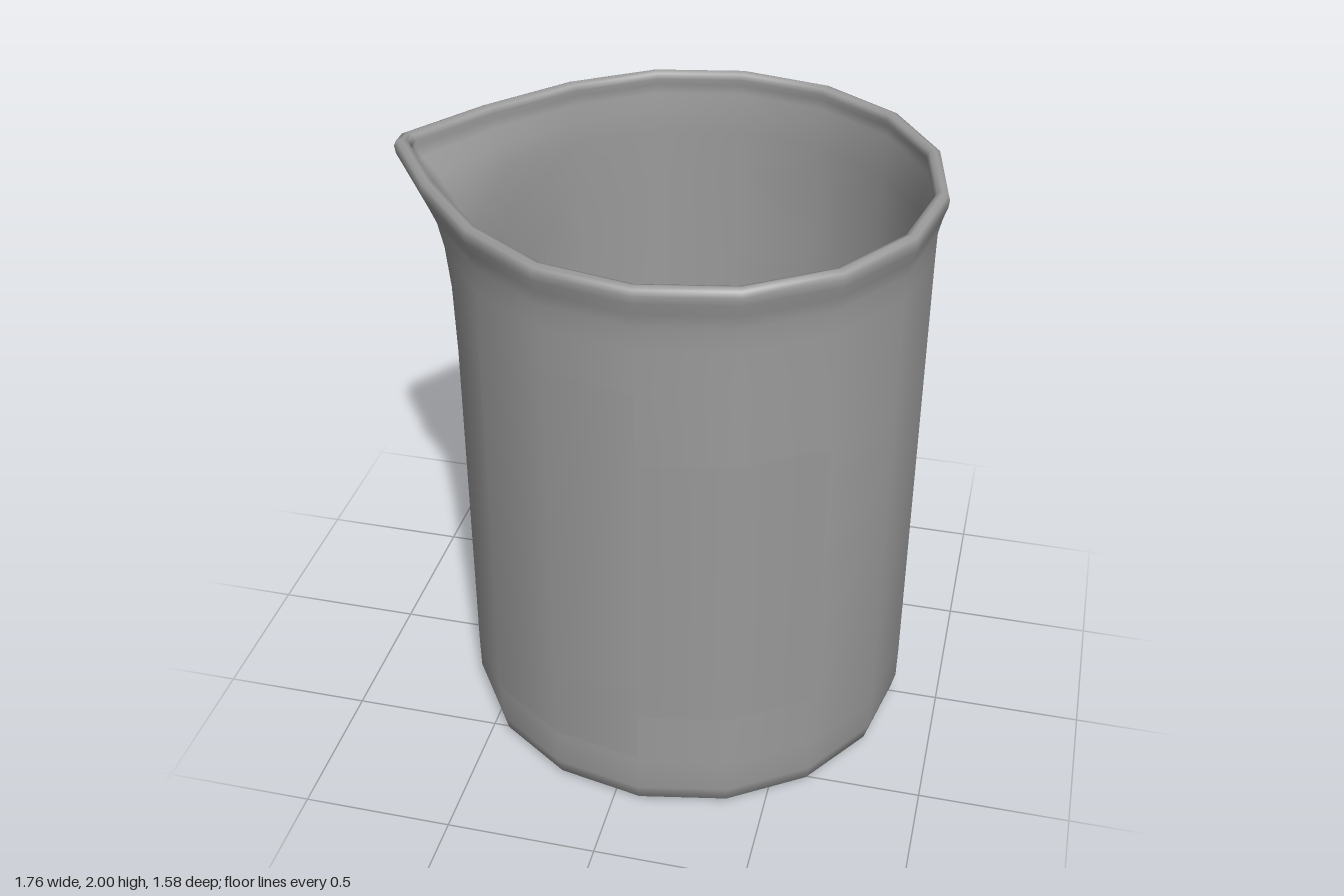
import * as THREE from 'three';

const CX = 0.09; // the body sits off centre because the spout reaches to -x
const material = new THREE.MeshStandardMaterial({ color: 0x9b9b9b });
const panelMaterial = new THREE.MeshStandardMaterial({ color: 0x999999, side: THREE.DoubleSide });

// Sixteen-sided ring; the spout corner is split in two for a blunt tip
const columns = [];
for (let i = 0; i < 16; i++) {
  if (i === 8) columns.push({ deg: 178, pull: 1 }, { deg: 182, pull: 1 });
  else columns.push({ deg: i * 22.5, pull: i === 7 || i === 9 ? 0.3 : 0 });
}

// Cross-section [radius, height, spout pull]: base, outer wall, rim bead, inner wall, floor
const profile = [
  [0, 0.015, 0], [0.5, 0.012, 0], [0.66, 0.002, 0], [0.71, 0.003, 0],
  [0.746, 0.025, 0], [0.76, 0.08, 0], [0.762, 0.2, 0],
  [0.762, 1.4, 0], [0.762, 1.64, 0.02], [0.762, 1.78, 0.068], [0.763, 1.86, 0.127],
  [0.774, 1.91, 0.164], [0.787, 1.95, 0.182], [0.79, 1.975, 0.183],
  [0.785, 1.993, 0.18], [0.768, 2, 0.177], [0.75, 1.993, 0.175], [0.743, 1.975, 0.174],
  [0.753, 1.952, 0.17], [0.752, 1.92, 0.15], [0.743, 1.86, 0.11], [0.742, 1.78, 0.06],
  [0.742, 1.64, 0.02], [0.742, 1.4, 0], [0.742, 0.14, 0], [0.735, 0.07, 0],
  [0.71, 0.038, 0], [0.64, 0.03, 0], [0, 0.03, 0],
];

function vesselGeometry() {
  const positions = [], index = [], n = columns.length;
  for (const [r, y, spout] of profile) {
    for (const { deg, pull } of columns) {
      const a = THREE.MathUtils.degToRad(deg);
      positions.push(CX + r * Math.cos(a) - spout * pull, y, -r * Math.sin(a));
    }
  }
  for (let row = 0; row < profile.length - 1; row++) {
    for (let c = 0; c < n; c++) {
      const a = row * n + c, b = row * n + (c + 1) % n;
      index.push(a, b, b + n, a, b + n, a + n);
    }
  }
  const g = new THREE.BufferGeometry();
  g.setAttribute('position', new THREE.Float32BufferAttribute(positions, 3));
  g.setIndex(index);
  g.computeVertexNormals();
  return g;
}

// Thin panel wrapped over two facets of the wall; theta runs from +z towards +x
function addPanel(group, name, y0, y1, thetaStart) {
  const g = new THREE.CylinderGeometry(0.767, 0.767, y1 - y0, 2, 1, true, thetaStart, Math.PI / 4);
  const mesh = new THREE.Mesh(g, panelMaterial);
  mesh.name = name;
  mesh.position.set(CX, (y0 + y1) / 2, 0);
  group.add(mesh);
}

export function createModel() {
  const group = new THREE.Group();
  group.name = 'beaker';

  const vessel = new THREE.Mesh(vesselGeometry(), material);
  vessel.name = 'vessel';
  group.add(vessel);

  addPanel(group, 'labelPanel', 0.4, 1.39, 0);
  addPanel(group, 'scalePanel', 0.22, 1.64, -Math.PI / 4);
  return group;
}
